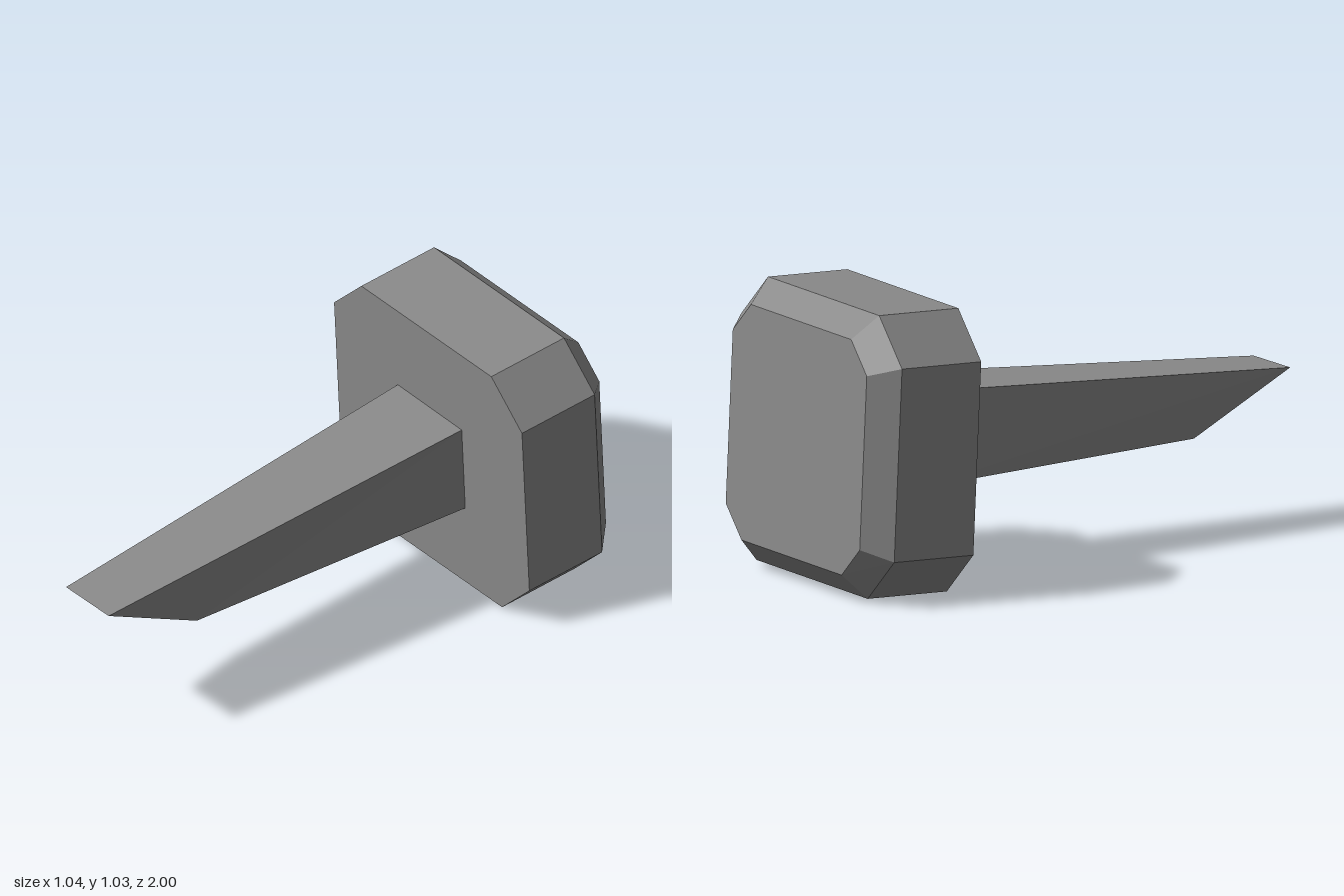
import * as THREE from 'three';

// Closed faceted solid from matching rings, ordered front to back, counter-clockwise seen from +z
function loft(rings) {
  const pos = [];
  const tri = (...pts) => pts.forEach((p) => pos.push(...p));
  const n = rings[0].length;
  const first = rings[0], last = rings[rings.length - 1];
  for (let r = 0; r < rings.length - 1; r++) {
    const a = rings[r], b = rings[r + 1];
    for (let i = 0; i < n; i++) {
      const j = (i + 1) % n;
      tri(a[i], b[i], b[j]);
      tri(a[i], b[j], a[j]);
    }
  }
  for (let i = 1; i < n - 1; i++) {
    tri(first[0], first[i], first[i + 1]);
    tri(last[0], last[i + 1], last[i]);
  }
  const geo = new THREE.BufferGeometry();
  geo.setAttribute('position', new THREE.Float32BufferAttribute(pos, 3));
  geo.computeVertexNormals();
  return geo;
}

// Rectangle with cut corners: half sizes w, h and half lengths of the straight edges fw, fh
function octagon(w, h, fw, fh, z) {
  return [
    [w, -fh, z], [w, fh, z], [fw, h, z], [-fw, h, z],
    [-w, fh, z], [-w, -fh, z], [-fw, -h, z], [fw, -h, z],
  ];
}

export function createModel() {
  const model = new THREE.Group();
  model.name = 'spike';
  const grey = new THREE.MeshStandardMaterial({ color: 0x8a8a8a });
  grey.name = 'grey';

  // Bevelled head, leaning very slightly
  const head = new THREE.Mesh(loft([
    octagon(0.513, 0.505, 0.355, 0.345, 0),
    octagon(0.513, 0.505, 0.355, 0.345, -0.33),
    octagon(0.428, 0.42, 0.32, 0.31, -0.42),
  ]), grey);
  head.name = 'head';
  head.position.set(-0.003, 0.508, -0.56);
  head.rotation.set(0.042, -0.02, 0.009);
  model.add(head);

  // Tapering shank with a slanted chisel tip
  const shank = new THREE.Mesh(loft([
    [[0.085, 0.357, 0.6], [0.077, 0.563, 1.0], [-0.15, 0.563, 1.0], [-0.14, 0.357, 0.6]],
    [[0.172, 0.337, -0.57], [0.17, 0.68, -0.56], [-0.18, 0.68, -0.56], [-0.18, 0.337, -0.575]],
  ]), grey);
  shank.name = 'shank';
  model.add(shank);

  return model;
}
